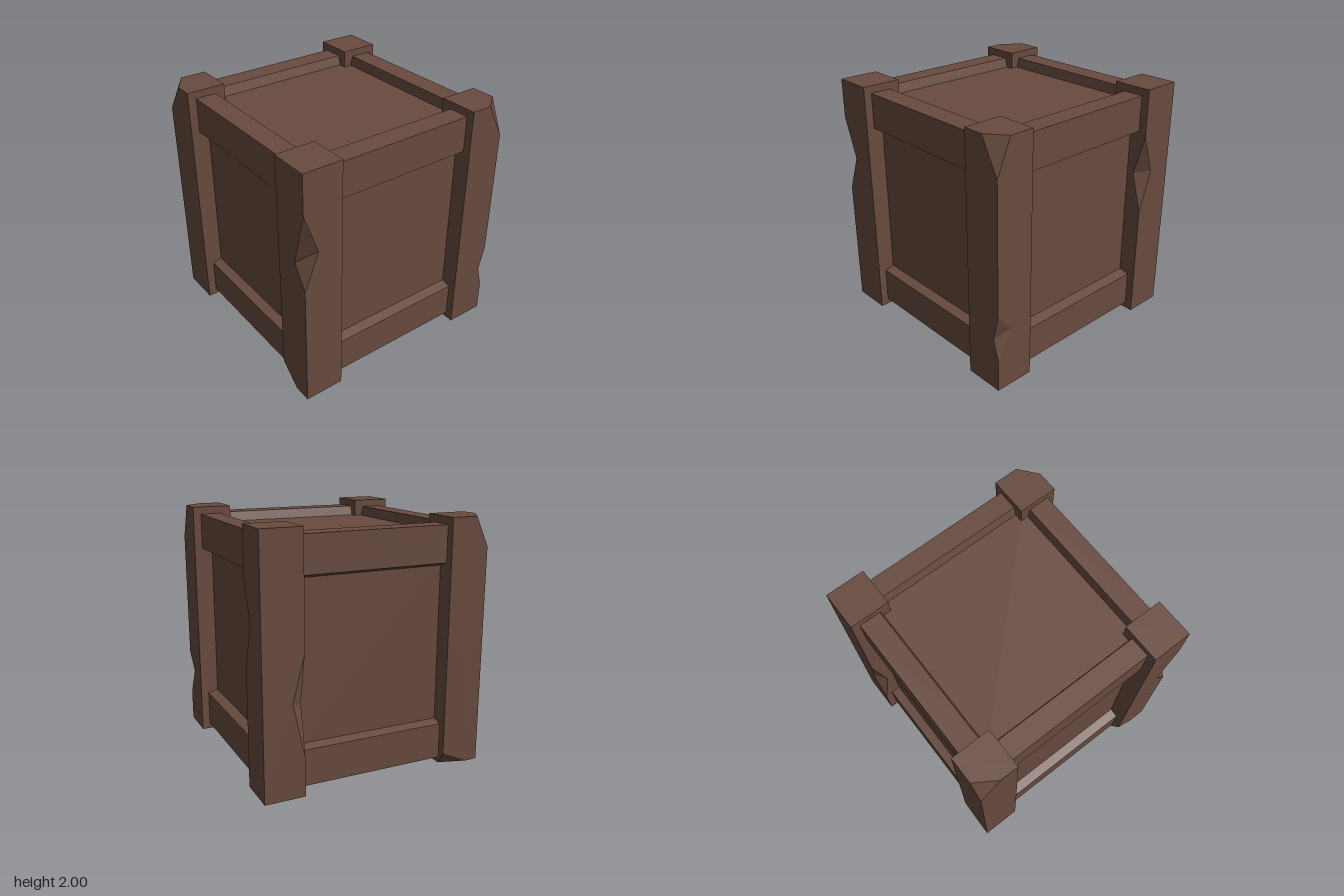
import * as THREE from 'three';

// Outer sizes of the corner posts
const X_IN = 0.62, X_OUT = 0.945, Z_IN = 0.605, Z_OUT = 0.93, H = 2;

// Square post with chopped corners and nicked upright edges.
// chops: { corner: [sx, sy, sz] signs, size: [dx, dy, dz] }
// nicks: { edge: [sx, sz] signs, y: [bottom, top], onZ: [dx, y], onX: [dz, y] }
function postGeometry(min, max, chops, nicks) {
  const pos = [];
  const at = (c) => c.map((s, i) => (s > 0 ? max[i] : min[i]));
  const V = (p) => new THREE.Vector3(...p);

  // Adds a triangle wound so that it faces the point "toward"
  function tri(a, b, c, toward) {
    const n = V(b).sub(V(a)).cross(V(c).sub(V(a)));
    if (n.dot(V(toward).sub(V(a))) < 0) [b, c] = [c, b];
    pos.push(...a, ...b, ...c);
  }
  // Point on a post edge, moved from a chopped corner toward another corner
  const slide = (chop, to) => at(chop.corner).map((p, i) =>
    p - (to[i] !== chop.corner[i] ? chop.corner[i] * chop.size[i] : 0));
  // Tip of a nick on the face across the given axis
  const tip = (k, axis) => {
    const [x, , z] = at([k.edge[0], 1, k.edge[1]]);
    return axis === 2 ? [x - k.edge[0] * k.onZ[0], k.onZ[1], z]
      : [x, k.onX[1], z - k.edge[1] * k.onX[0]];
  };
  const same = (a, b) => a.every((v, i) => v === b[i]);

  // Six sides, each outline carrying its chops and nicks
  for (let axis = 0; axis < 3; axis++) for (const s of [-1, 1]) {
    const u = (axis + 1) % 3, v = (axis + 2) % 3;
    const corners = [[-1, -1], [1, -1], [1, 1], [-1, 1]].map(([p, q]) => {
      const c = [0, 0, 0];
      c[axis] = s; c[u] = p; c[v] = q;
      return c;
    });
    const outline = [];
    corners.forEach((c, i) => {
      const prev = corners[(i + 3) % 4], next = corners[(i + 1) % 4];
      const chop = chops.find((k) => same(k.corner, c));
      if (chop) outline.push(slide(chop, prev), slide(chop, next));
      else outline.push(at(c));
      if (c[1] === next[1]) return;
      const nick = nicks.find((k) => same(k.edge, [c[0], c[2]]));
      if (!nick) return;
      const [x, , z] = at(c);
      const pts = [[x, nick.y[0], z], tip(nick, axis), [x, nick.y[1], z]];
      outline.push(...(next[1] > c[1] ? pts : pts.reverse()));
    });
    const flat = outline.map((p) => new THREE.Vector2(p[u], p[v]));
    for (const [a, b, c] of THREE.ShapeUtils.triangulateShape(flat, [])) {
      const toward = [...outline[a]];
      toward[axis] += s;
      tri(outline[a], outline[b], outline[c], toward);
    }
  }

  // Slanted faces left by the chops
  for (const k of chops) {
    const ends = [0, 1, 2].map((i) => slide(k, k.corner.map((v, j) => (i === j ? -v : v))));
    tri(...ends, at(k.corner));
  }
  // Two faces inside each nick
  for (const k of nicks) {
    const [x, , z] = at([k.edge[0], 1, k.edge[1]]);
    const bottom = [x, k.y[0], z], top = [x, k.y[1], z];
    tri(top, tip(k, 2), tip(k, 0), bottom);
    tri(bottom, tip(k, 2), tip(k, 0), top);
  }

  const g = new THREE.BufferGeometry();
  g.setAttribute('position', new THREE.Float32BufferAttribute(pos, 3));
  g.computeVertexNormals();
  return g;
}

// Rail with sloped inner edges: section given as (outward, y), run along the side
function railGeometry(section, length) {
  const shape = new THREE.Shape(section.map(([x, y]) => new THREE.Vector2(x, y)));
  const g = new THREE.ExtrudeGeometry(shape, { depth: length, bevelEnabled: false });
  return g.translate(0, 0, -length / 2);
}

export function createModel() {
  const model = new THREE.Group();
  model.name = 'crate';
  const wood = new THREE.MeshStandardMaterial({ color: 0x694b40 });
  wood.name = 'brown wood';
  const add = (name, geometry) => {
    const mesh = new THREE.Mesh(geometry, wood);
    mesh.name = name;
    model.add(mesh);
    return mesh;
  };

  // Recessed panels as one inner box
  add('innerPanels', new THREE.BoxGeometry(1.6, 1.73, 1.56)).position.y = 0.995;

  // Top and bottom rails on all four sides
  const sides = [
    ['right', Math.PI, 0.88, 0.705, 0.8, 1.24],
    ['left', 0, 0.88, 0.705, 0.8, 1.24],
    ['front', -Math.PI / 2, 0.86, 0.69, 0.78, 1.27],
    ['back', Math.PI / 2, 0.865, 0.695, 0.78, 1.27],
  ];
  for (const [name, turn, out, inner, panel, length] of sides) {
    const top = [[out, 1.94], [inner, 1.94], [inner - 0.02, 1.86], [panel, 1.62], [out, 1.65]];
    const bottom = [[out, 0.05], [out, 0.34], [panel, 0.36], [inner - 0.02, 0.13], [inner, 0.05]];
    add(name + 'TopRail', railGeometry(top, length)).rotation.y = turn;
    add(name + 'BottomRail', railGeometry(bottom, length)).rotation.y = turn;
  }

  // Four worn corner posts
  const posts = [
    { name: 'frontLeftPost', sx: 1, sz: 1,
      chops: [{ corner: [-1, -1, 1], size: [0.18, 0.16, 0.07] }],
      nicks: [{ edge: [1, 1], y: [1.05, 1.68], onZ: [0.12, 1.24], onX: [0.12, 1.35] }] },
    { name: 'frontRightPost', sx: -1, sz: 1,
      chops: [{ corner: [-1, 1, 1], size: [0.175, 0.235, 0.11] },
        { corner: [-1, -1, -1], size: [0.07, 0.1, 0.22] }],
      nicks: [] },
    { name: 'backLeftPost', sx: 1, sz: -1,
      chops: [{ corner: [1, 1, -1], size: [0.12, 0.28, 0.15] }],
      nicks: [{ edge: [1, -1], y: [0.26, 0.65], onZ: [0.13, 0.5], onX: [0.05, 0.44] }] },
    { name: 'backRightPost', sx: -1, sz: -1,
      chops: [],
      nicks: [{ edge: [1, -1], y: [0.96, 1.61], onZ: [0.11, 1.3], onX: [0.09, 1.28] },
        { edge: [-1, 1], y: [0.31, 1.11], onZ: [0.08, 0.7], onX: [0.095, 0.74] }] },
  ];
  for (const { name, sx, sz, chops, nicks } of posts) {
    const min = [sx > 0 ? X_IN : -X_OUT, 0, sz > 0 ? Z_IN : -Z_OUT];
    const max = [sx > 0 ? X_OUT : -X_IN, H, sz > 0 ? Z_OUT : -Z_IN];
    add(name, postGeometry(min, max, chops, nicks));
  }
  return model;
}
